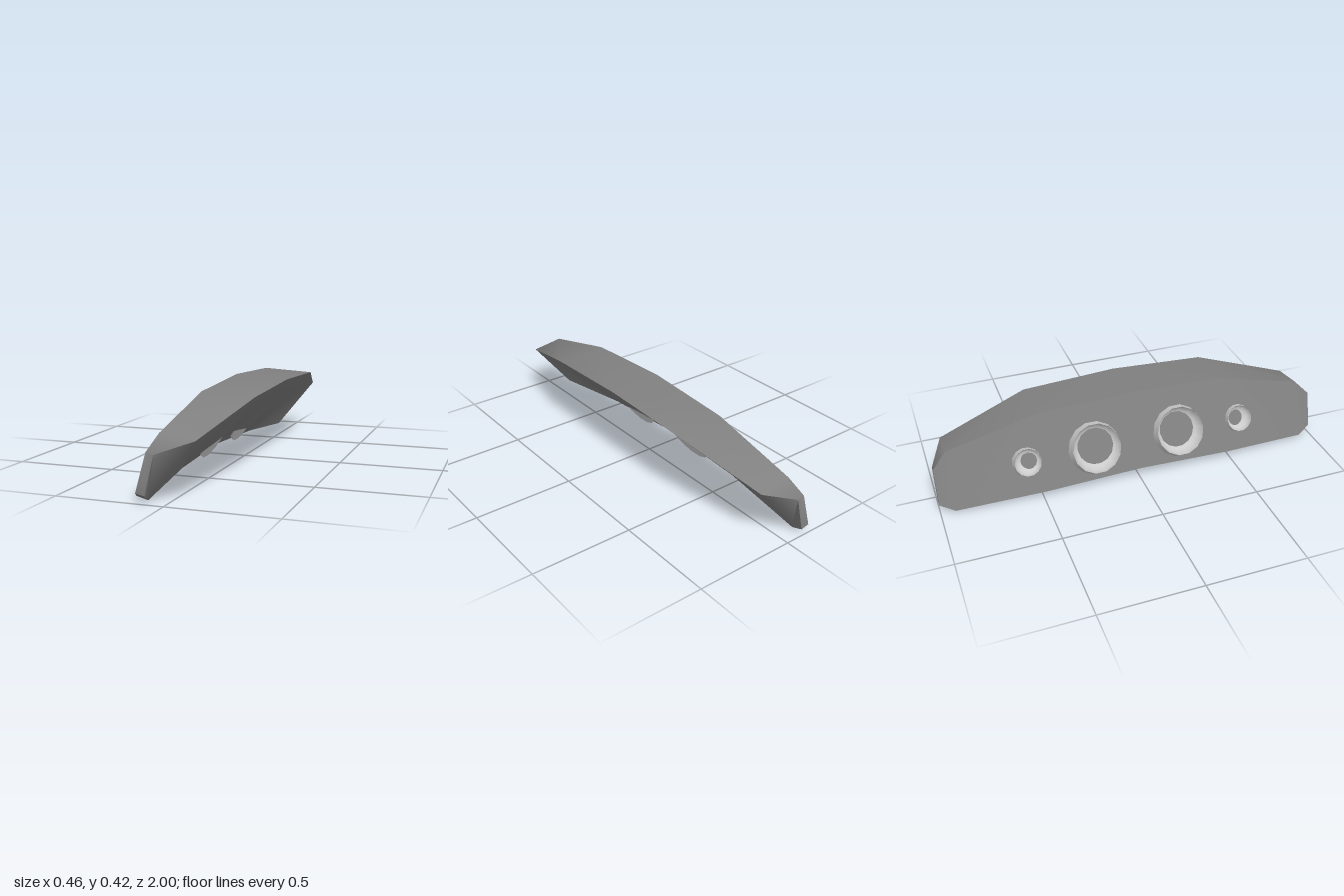
import * as THREE from 'three';
import { toCreasedNormals } from 'three/addons/utils/BufferGeometryUtils.js';

// Cross-sections of the panel from the middle to one end, each with its corners
// in the order: face top, shelf edge, underside bottom, face bottom (x, y).
const SECTIONS = [
  { z: 0, p: [[-0.045, 0.42], [0.225, 0.405], [-0.15, 0.052], [-0.203, 0.065]] },
  { z: 0.48, p: [[-0.04, 0.398], [0.217, 0.384], [-0.14, 0.032], [-0.198, 0.045]] },
  { z: 0.93, p: [[-0.045, 0.289], [0.115, 0.265], [-0.1, 0], [-0.154, 0.014]] },
  { z: 1, p: [[-0.075, 0.22], [-0.04, 0.212], [-0.083, 0.036], [-0.125, 0.045]] },
];

function panelGeometry() {
  // Mirror the half sections, running from the front end to the back end
  const rings = [
    ...SECTIONS.slice().reverse(),
    ...SECTIONS.slice(1).map((s) => ({ z: -s.z, p: s.p })),
  ];
  const positions = rings.flatMap((r) => r.p.flatMap(([x, y]) => [x, y, r.z]));
  const index = [];
  for (let k = 0; k < rings.length - 1; k++) {
    for (let i = 0; i < 4; i++) {
      const a = k * 4 + i;
      const b = k * 4 + ((i + 1) % 4);
      const c = b + 4;
      const d = a + 4;
      // Mirror the diagonals on the two halves
      if (k < 3) index.push(a, b, c, a, c, d);
      else index.push(a, b, d, b, c, d);
    }
  }
  // End caps
  const e = (rings.length - 1) * 4;
  index.push(0, 3, 2, 0, 2, 1, e, e + 1, e + 2, e, e + 2, e + 3);
  const geometry = new THREE.BufferGeometry();
  geometry.setAttribute('position', new THREE.Float32BufferAttribute(positions, 3));
  geometry.setIndex(index);
  return toCreasedNormals(geometry, 1.0);
}

// Flared cup with a hollow bowl, opening along +y
function gaugeGeometry(rimRadius, backRadius, depth, bowlDepth) {
  const profile = [[0, -depth], [backRadius, -depth], [rimRadius, 0]];
  for (let i = 1; i <= 5; i++) {
    const t = (i / 5) * Math.PI / 2;
    profile.push([rimRadius * Math.cos(t), -bowlDepth * Math.sin(t)]);
  }
  profile[profile.length - 1][0] = 0;
  const points = profile.map(([x, y]) => new THREE.Vector2(x, y));
  return toCreasedNormals(new THREE.LatheGeometry(points, 14), 0.8);
}

export function createModel() {
  const model = new THREE.Group();
  model.name = 'dashboard';

  const dark = new THREE.MeshStandardMaterial({ color: 0x808080 });
  const light = new THREE.MeshStandardMaterial({ color: 0xcccccc, side: THREE.DoubleSide });

  const panel = new THREE.Mesh(panelGeometry(), dark);
  panel.name = 'panel';
  model.add(panel);

  // Two large and two small gauges, tilted with the face
  const kinds = [
    { name: 'largeGauge', x: -0.177, y: 0.222, z: 0.22, geometry: gaugeGeometry(0.123, 0.15, 0.13, 0.07) },
    { name: 'smallGauge', x: -0.151, y: 0.205, z: 0.56, geometry: gaugeGeometry(0.067, 0.079, 0.08, 0.04) },
  ];
  for (const { name, x, y, z, geometry } of kinds) {
    for (const side of [1, -1]) {
      const gauge = new THREE.Mesh(geometry, light);
      gauge.name = name + (side > 0 ? 'Front' : 'Back');
      gauge.position.set(x, y, side * z);
      gauge.rotation.z = 1.108;
      model.add(gauge);
    }
  }
  return model;
}
